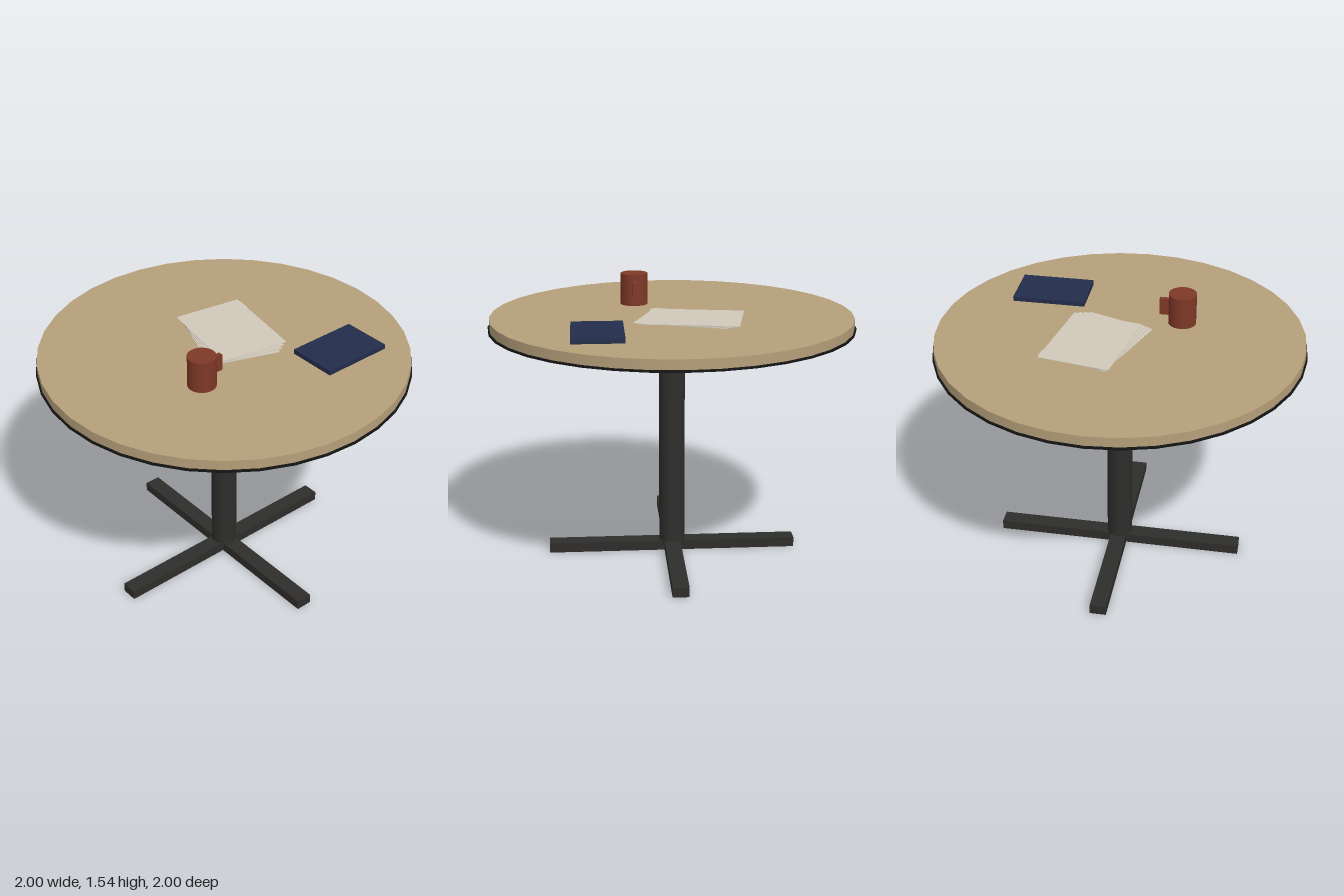
import * as THREE from 'three';

const TOP = 1.363; // height of the table surface

export function createModel() {
  const model = new THREE.Group();
  const mat = (color) => new THREE.MeshStandardMaterial({ color });
  const wood = mat(0xb59f7a), black = mat(0x141414), iron = mat(0x2e2d2b);
  const clay = mat(0x7f3827), navy = mat(0x232d4b), paper = mat(0xd0c9ba);

  const add = (name, geometry, material, x, y, z, parent = model) => {
    const mesh = new THREE.Mesh(geometry, material);
    mesh.name = name;
    mesh.position.set(x, y, z);
    parent.add(mesh);
    return mesh;
  };
  // Upright cylinder and box placed by their bottom height
  const disc = (name, r, h, sides, m, x, y, z, parent) =>
    add(name, new THREE.CylinderGeometry(r, r, h, sides), m, x, y + h / 2, z, parent);
  const box = (name, w, h, d, m, x, y, z, parent) =>
    add(name, new THREE.BoxGeometry(w, h, d), m, x, y + h / 2, z, parent);

  // Table: crossed feet, column, dark underside and wooden top
  box('footBarX', 1.395, 0.055, 0.09, iron, 0, 0, 0);
  box('footBarZ', 0.09, 0.055, 1.395, iron, 0, 0, 0);
  disc('column', 0.072, 1.275, 24, iron, 0, 0.03, 0);
  disc('topUnderside', 1, 0.011, 36, black, 0, 1.299, 0);
  disc('tableTop', 0.991, TOP - 1.31, 36, wood, 0, 1.31, 0);

  // Mug with a block handle
  const mug = new THREE.Group();
  mug.name = 'mug';
  mug.position.set(-0.308, TOP, 0.193);
  model.add(mug);
  disc('mugBody', 0.076, 0.175, 24, clay, 0, 0, 0, mug);
  box('mugHandle', 0.06, 0.092, 0.026, clay, 0.094, 0.046, 0, mug);

  // Notebook
  box('notebook', 0.403, 0.026, 0.275, navy, 0.452, TOP, 0.413);

  // Loose paper stack, each sheet turned a little further
  const papers = new THREE.Group();
  papers.name = 'paperStack';
  model.add(papers);
  const sheets = 4;
  for (let i = 0; i < sheets; i++) {
    const t = i / (sheets - 1);
    const sheet = box('sheet', 0.39, 0.003, 0.515, paper,
      0.108 + 0.03 * t, TOP + i * 0.0035, -0.09 - 0.02 * t, papers);
    sheet.rotation.y = -THREE.MathUtils.degToRad(20 - 10 * t);
  }
  return model;
}
